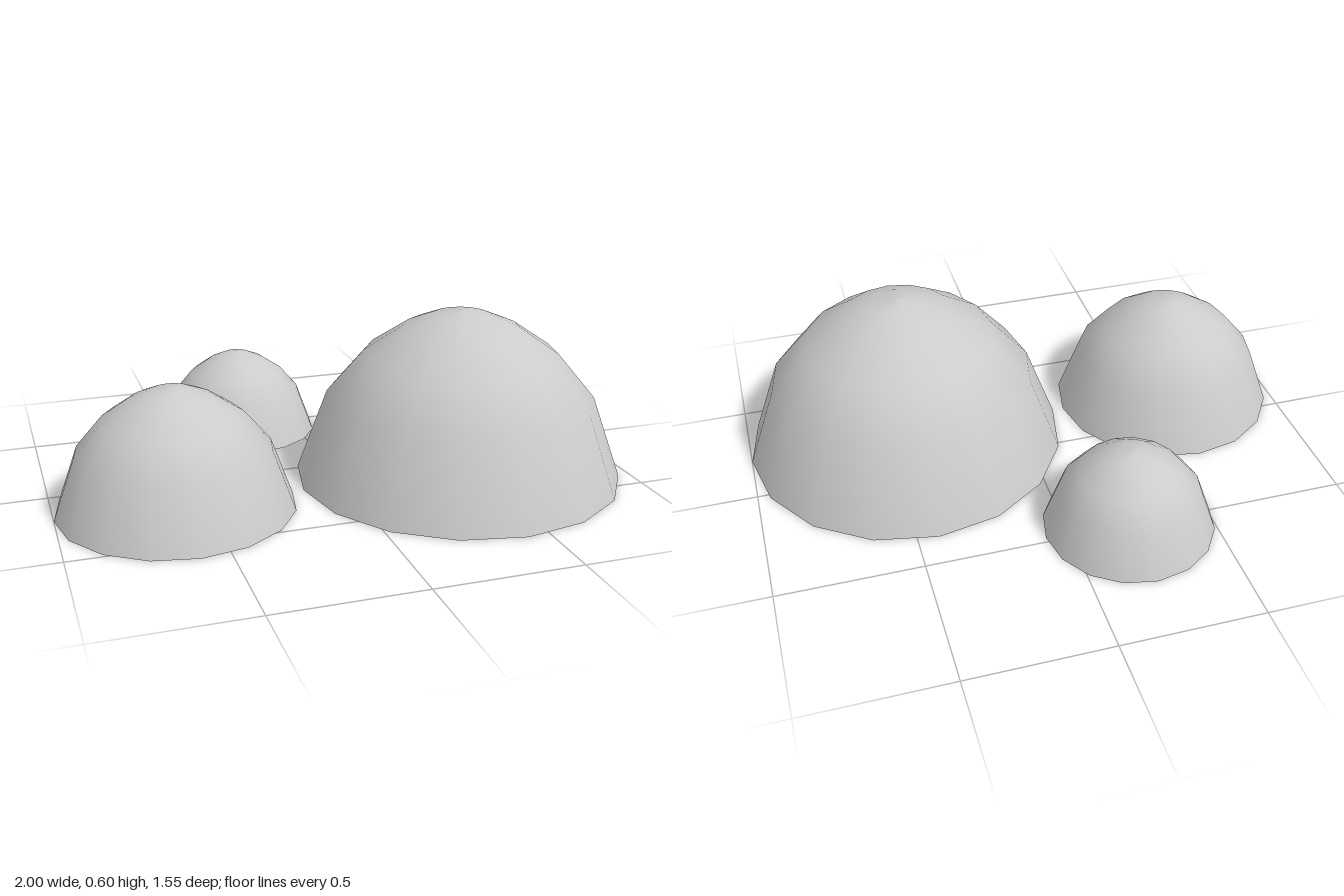
import * as THREE from 'three';

// Dome profile as [radius, height] fractions, from the open rim to the apex
const PROFILE = [[1, 0], [0.815, 0.488], [0.588, 0.745], [0.345, 0.903], [0.17, 0.973], [0, 1]];

function makeDome(name, x, z, radius, height) {
  const points = PROFILE.map(([r, y]) => new THREE.Vector2(r * radius, y * height));
  const material = new THREE.MeshStandardMaterial({ color: 0xcccccc, side: THREE.DoubleSide });
  const dome = new THREE.Mesh(new THREE.LatheGeometry(points, 16), material);
  dome.name = name;
  dome.position.set(x, 0, z);
  return dome;
}

export function createModel() {
  const group = new THREE.Group();
  group.name = 'domeCluster';

  // Three hollow domes, open underneath
  group.add(
    makeDome('largeDome', 0.425, 0.2, 0.575, 0.6),
    makeDome('mediumDome', -0.595, 0.2, 0.405, 0.425),
    makeDome('smallDome', -0.217, -0.48, 0.296, 0.314),
  );
  return group;
}
